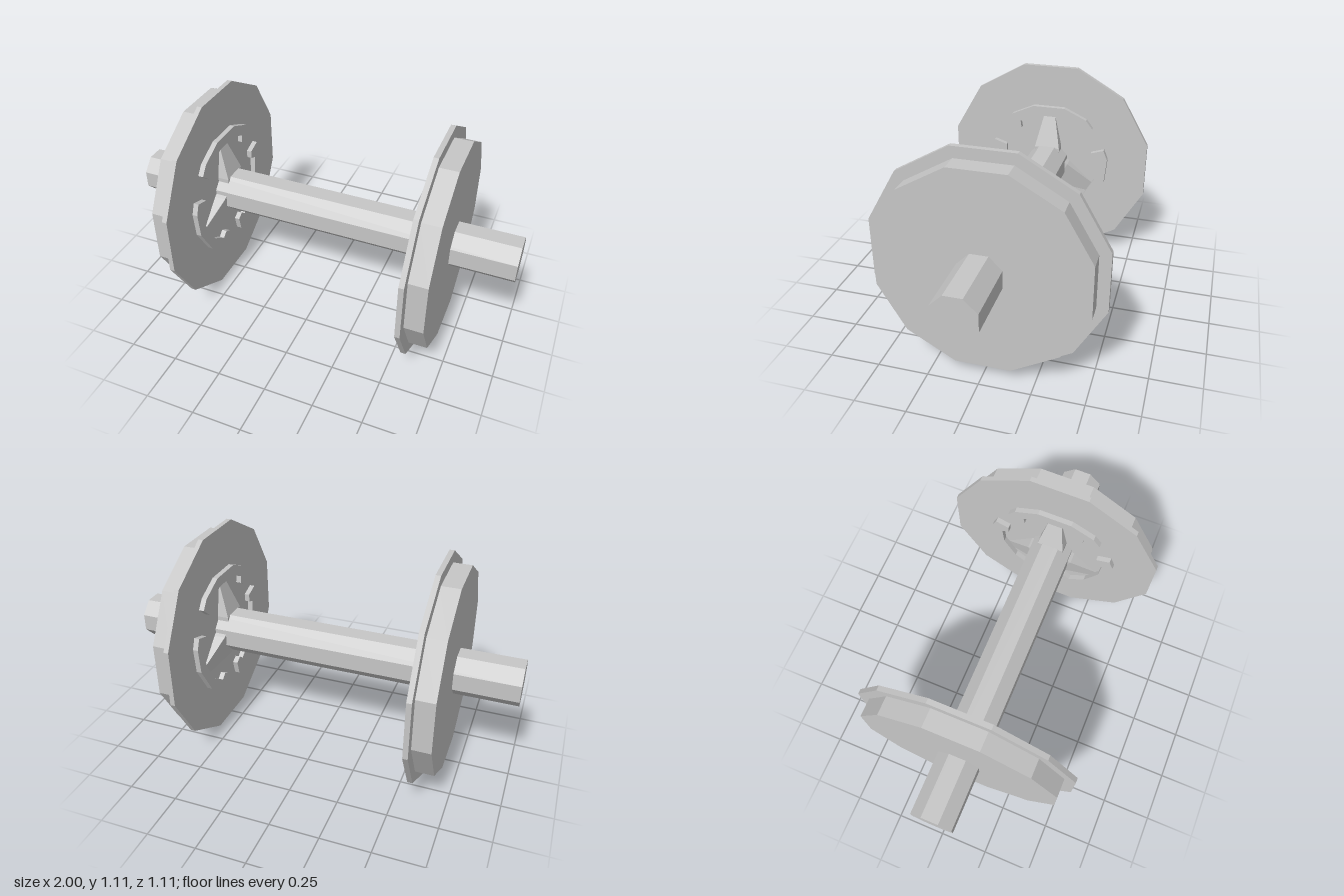
import * as THREE from 'three';
import { ConvexGeometry } from 'three/addons/geometries/ConvexGeometry.js';

const AXLE_Y = 0.555;
const INNER_X = 0.567; // inner face of each wheel

export function createModel() {
  const steel = new THREE.MeshStandardMaterial({ color: 0xc6c6c6, flatShading: true });
  steel.name = 'grey steel';

  const add = (parent, name, geometry) => {
    const mesh = new THREE.Mesh(geometry, steel);
    mesh.name = name;
    parent.add(mesh);
    return mesh;
  };

  // Prism along x with flat top and bottom, from x0 to x1
  const prism = (apothem, sides, x0, x1) => {
    const r = apothem / Math.cos(Math.PI / sides);
    const g = new THREE.CylinderGeometry(r, r, x1 - x0, sides, 1, false, Math.PI / sides);
    return g.rotateZ(-Math.PI / 2).translate((x0 + x1) / 2, 0, 0);
  };

  // Curved raised bracket with inward hooks, as [degrees from up, radius]
  const half = [[15, 0.341], [38, 0.345], [48, 0.335], [48, 0.26], [39, 0.25], [35, 0.285], [14, 0.285]];
  const outline = [...half, ...half.map(([a, r]) => [-a, r]).reverse()].map(([a, r]) => {
    const t = THREE.MathUtils.degToRad(a);
    return new THREE.Vector2(r * Math.sin(t), r * Math.cos(t));
  });
  const bracketGeo = new THREE.ExtrudeGeometry(new THREE.Shape(outline), { depth: 0.027, bevelEnabled: false });

  // Tapered gusset between axle and wheel face
  const gussetPoints = [];
  for (const s of [-1, 1]) {
    gussetPoints.push(
      new THREE.Vector3(s * 0.07, 0.05, 0),
      new THREE.Vector3(s * 0.07, 0.05, 0.059),
      new THREE.Vector3(s * 0.07, 0.1, 0.059),
      new THREE.Vector3(s * 0.07, 0.1, 0),
      new THREE.Vector3(s * 0.03, 0.28, 0)
    );
  }
  const gussetGeo = new ConvexGeometry(gussetPoints);

  const model = new THREE.Group();
  model.name = 'wheelset';
  const assembly = new THREE.Group();
  assembly.name = 'axleAssembly';
  assembly.position.y = AXLE_Y;
  model.add(assembly);

  add(assembly, 'axle', prism(0.105, 8, -1, 1));

  for (const side of ['left', 'right']) {
    const wheel = new THREE.Group();
    wheel.name = side + 'Wheel';
    if (side === 'right') wheel.rotation.y = Math.PI;
    assembly.add(wheel);

    add(wheel, 'flange', prism(0.555, 12, INNER_X, 0.592));
    add(wheel, 'tread', prism(0.5, 12, 0.585, 0.684));

    // Inner face details: local z points toward the middle of the axle
    const face = new THREE.Group();
    face.name = 'innerFace';
    face.position.x = INNER_X;
    face.rotation.y = -Math.PI / 2;
    wheel.add(face);
    for (let i = 0; i < 3; i++) {
      const turn = (i * Math.PI * 2) / 3;
      add(face, 'bracket', bracketGeo).rotation.z = turn;
      add(face, 'gusset', gussetGeo).rotation.z = turn;
    }
  }
  return model;
}
